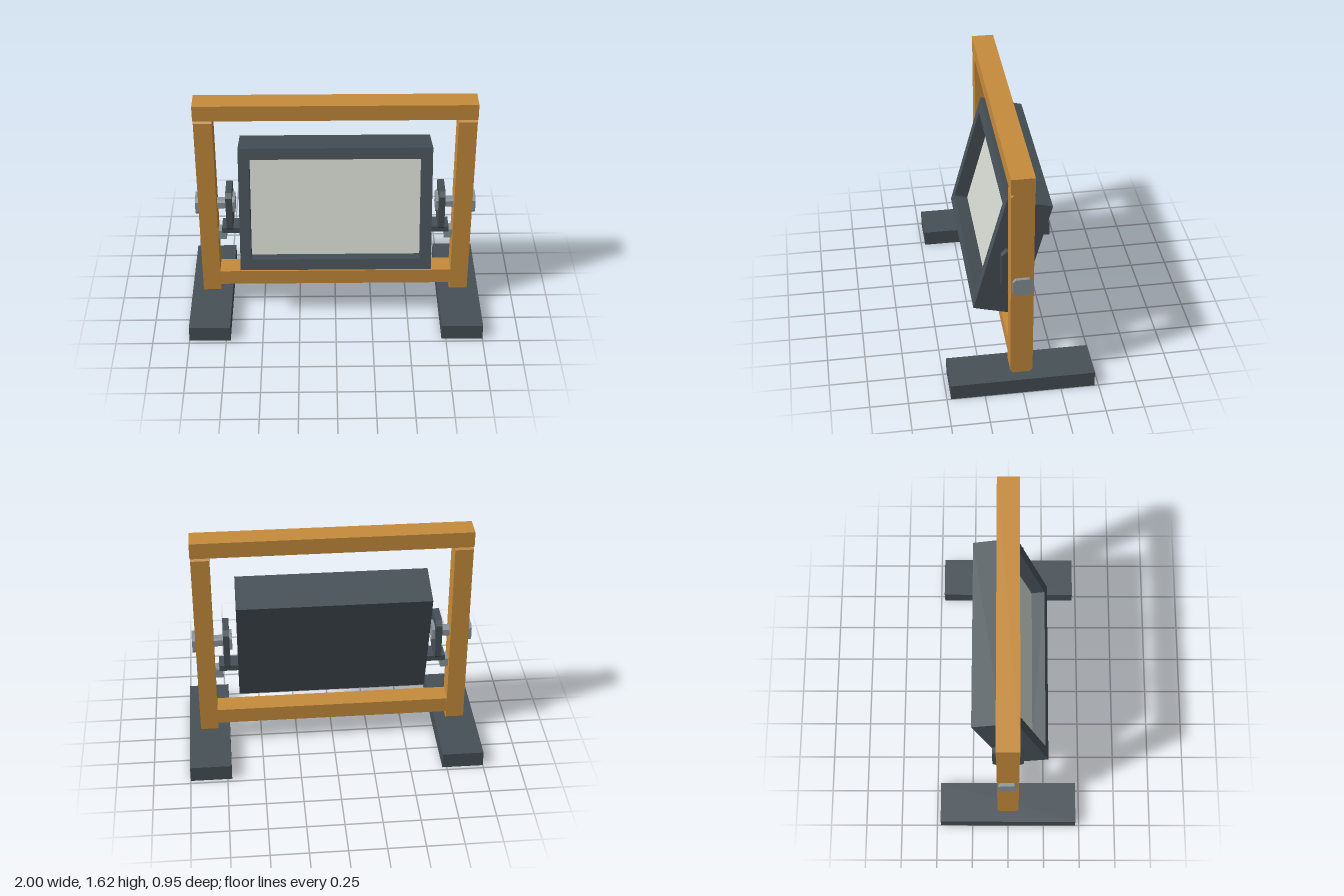
import * as THREE from 'three';

const paint = (color) => new THREE.MeshStandardMaterial({ color, flatShading: true });
const wood = paint(0xc68b3c);
const slate = paint(0x465056);
const steel = paint(0x8a949a);
const glass = paint(0xd2d5cd);

function add(parent, name, geometry, material) {
  const mesh = new THREE.Mesh(geometry, material);
  mesh.name = name;
  parent.add(mesh);
  return mesh;
}

// Box given by its min/max extents on each axis
function box(parent, name, [x0, x1], [y0, y1], [z0, z1], material) {
  const mesh = add(parent, name, new THREE.BoxGeometry(x1 - x0, y1 - y0, z1 - z0), material);
  mesh.position.set((x0 + x1) / 2, (y0 + y1) / 2, (z0 + z1) / 2);
  return mesh;
}

// Slab with cut corners in the side outline, extruded along x
function chamferedSlab(parent, name, [x0, x1], [y0, y1], halfZ, cut, material) {
  const shape = new THREE.Shape([
    [-halfZ + cut, y0], [halfZ - cut, y0], [halfZ, y0 + cut], [halfZ, y1 - cut],
    [halfZ - cut, y1], [-halfZ + cut, y1], [-halfZ, y1 - cut], [-halfZ, y0 + cut],
  ].map(([z, y]) => new THREE.Vector2(z, y)));
  const geometry = new THREE.ExtrudeGeometry(shape, { depth: x1 - x0, bevelEnabled: false });
  geometry.rotateY(Math.PI / 2);
  geometry.translate(x0, 0, 0);
  return add(parent, name, geometry, material);
}

function rectangle(target, halfW, halfH) {
  target.moveTo(-halfW, -halfH);
  target.lineTo(halfW, -halfH);
  target.lineTo(halfW, halfH);
  target.lineTo(-halfW, halfH);
  target.closePath();
  return target;
}

// Foot, post, pivot and bracket of one side; both outlines are given as |x|
function createSide(side) {
  const group = new THREE.Group();
  group.name = side > 0 ? 'leftSupport' : 'rightSupport';
  const span = (a, b) => (side > 0 ? [a, b] : [-b, -a]);

  box(group, 'foot', span(0.72, 1), [0, 0.11], [-0.473, 0.473], slate);
  chamferedSlab(group, 'post', span(0.8, 0.922), [0.11, 1.505], 0.073, 0.02, wood);

  // Pivot bolt with its two heads
  chamferedSlab(group, 'outerKnob', span(0.92, 0.945), [0.76, 0.88], 0.063, 0.02, steel);
  chamferedSlab(group, 'pivotShaft', span(0.69, 0.81), [0.785, 0.85], 0.033, 0.012, steel);
  chamferedSlab(group, 'innerKnob', span(0.677, 0.7), [0.765, 0.88], 0.06, 0.02, steel);

  // Pivot plate standing on a small shelf with a stop block below
  chamferedSlab(group, 'pivotPlate', span(0.695, 0.737), [0.645, 0.947], 0.105, 0.03, slate);
  box(group, 'bracketShelf', span(0.63, 0.772), [0.607, 0.648], [-0.06, 0.06], slate);
  box(group, 'stopBlock', span(0.745, 0.8), [0.54, 0.607], [-0.04, 0.04], steel);
  return group;
}

// Tilted housing with a recessed screen
function createPanel() {
  const panel = new THREE.Group();
  panel.name = 'tiltingPanel';
  const halfW = 0.643, halfH = 0.43, halfD = 0.15, recess = 0.098;
  const openW = 0.57, openH = 0.353;
  const bezelShape = rectangle(new THREE.Shape(), halfW, halfH);
  bezelShape.holes.push(rectangle(new THREE.Path(), openW, openH));
  const bezel = new THREE.ExtrudeGeometry(bezelShape, { depth: recess, bevelEnabled: false });
  bezel.translate(0, 0, halfD - recess);
  add(panel, 'bezel', bezel, slate);
  box(panel, 'housing', [-halfW, halfW], [-halfH, halfH], [-halfD, halfD - recess], slate);
  box(panel, 'screen', [-openW, openW], [-openH, openH], [0, halfD - recess + 0.004], glass);
  panel.position.set(0, 0.828, 0.021);
  panel.rotation.x = THREE.MathUtils.degToRad(-15);
  return panel;
}

export function createModel() {
  const model = new THREE.Group();
  model.name = 'tiltingPanelStand';
  for (const side of [-1, 1]) model.add(createSide(side));
  box(model, 'topBeam', [-0.925, 0.925], [1.505, 1.615], [-0.075, 0.075], wood);
  box(model, 'bottomBeam', [-0.8, 0.8], [0.175, 0.285], [-0.07, 0.07], wood);
  model.add(createPanel());
  return model;
}
